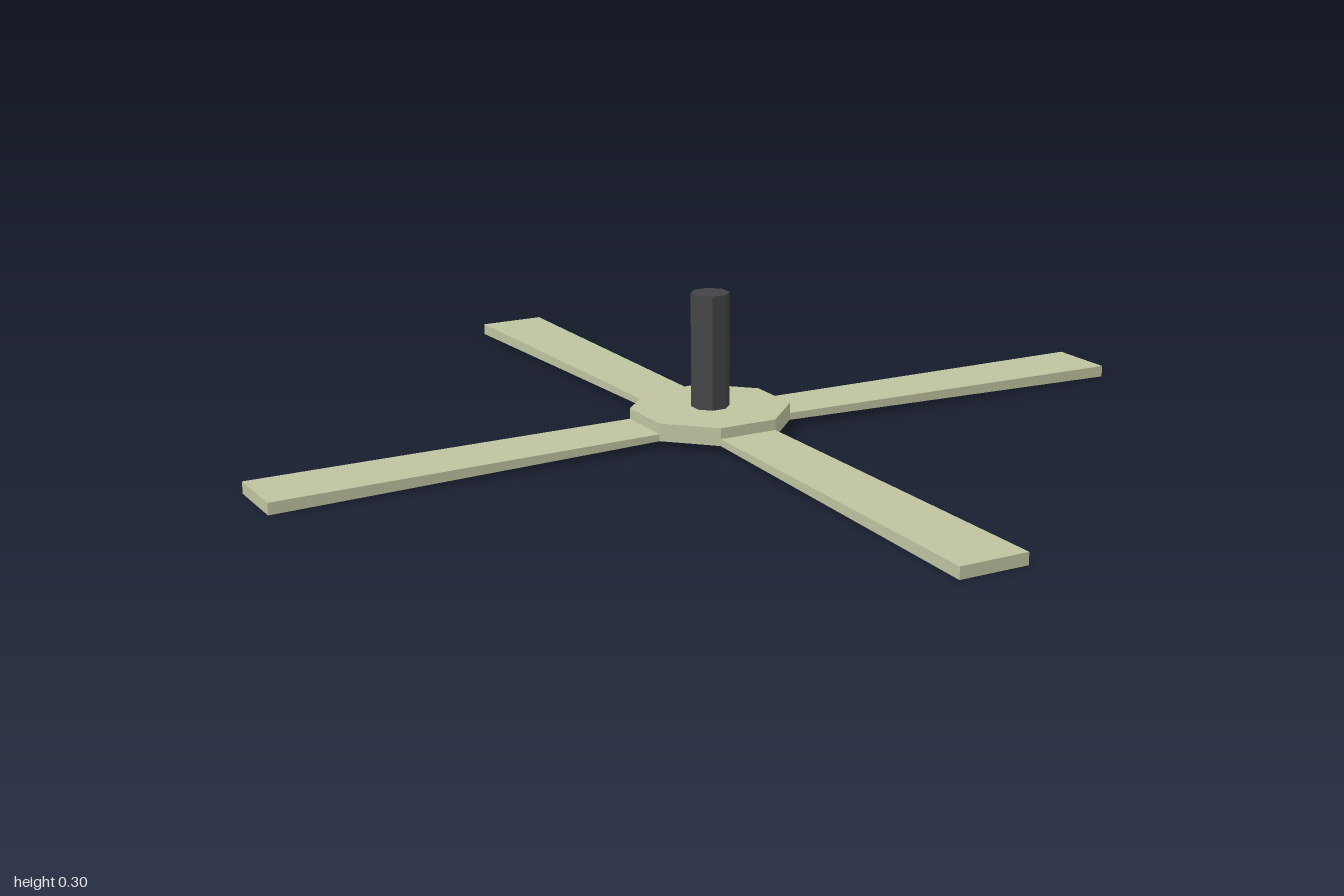
import * as THREE from 'three';

const paint = new THREE.MeshStandardMaterial({ color: 0xbec3a0, flatShading: true });
const dark = new THREE.MeshStandardMaterial({ color: 0x444446, flatShading: true });

const HUB_APOTHEM = 0.158, TIP = 1;

// Upright octagonal prism with flats facing the axes
function octagon(name, apothem, y0, y1, material) {
  const r = apothem / Math.cos(Math.PI / 8);
  const g = new THREE.CylinderGeometry(r, r, y1 - y0, 8);
  g.rotateY(Math.PI / 8);
  g.translate(0, (y0 + y1) / 2, 0);
  const mesh = new THREE.Mesh(g, material);
  mesh.name = name;
  return mesh;
}

// Blade along +x: widens, thickens and droops slightly towards the tip
function bladeGeometry() {
  const g = new THREE.BoxGeometry(1, 1, 1, 2, 1, 1);
  const p = g.attributes.position;
  const mix = THREE.MathUtils.lerp;
  for (let i = 0; i < p.count; i++) {
    const t = p.getX(i) + 0.5;
    const y = p.getY(i) > 0 ? mix(0.031, 0.025, t) : mix(0.016, 0, t);
    p.setXYZ(i, mix(HUB_APOTHEM - 0.005, TIP, t), y, p.getZ(i) * mix(0.131, 0.15, t));
  }
  g.computeVertexNormals();
  return g;
}

export function createModel() {
  const rotor = new THREE.Group();
  rotor.name = 'rotor';

  // Hub and shaft
  rotor.add(octagon('hub', HUB_APOTHEM, 0.016, 0.054, paint));
  rotor.add(octagon('shaft', 0.038, 0.05, 0.3, dark));

  // Four blades
  const geometry = bladeGeometry();
  for (let i = 0; i < 4; i++) {
    const blade = new THREE.Mesh(geometry, paint);
    blade.name = `blade${i + 1}`;
    blade.rotation.y = i * Math.PI / 2;
    rotor.add(blade);
  }
  return rotor;
}
